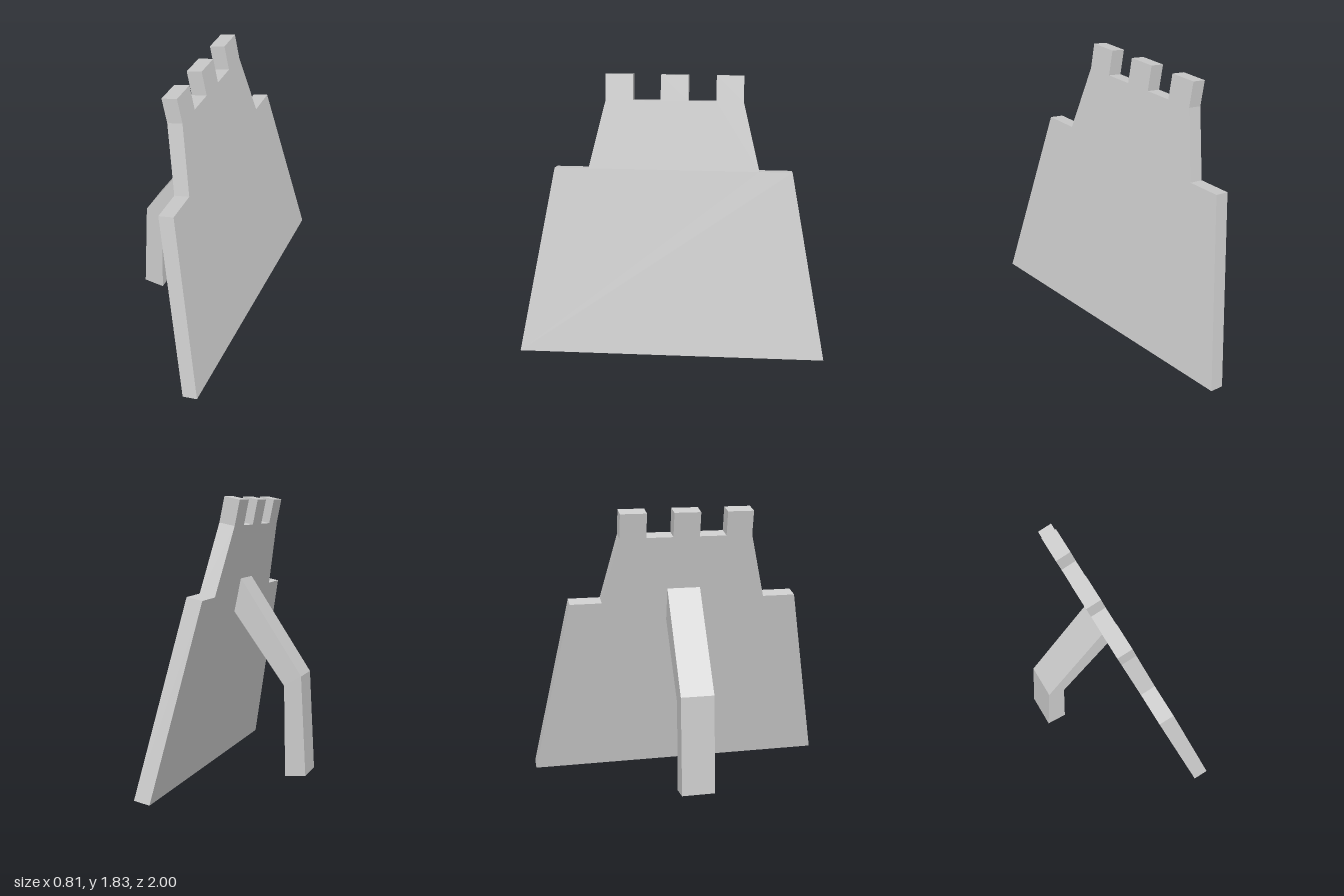
import * as THREE from 'three';

const material = new THREE.MeshStandardMaterial({ color: 0xcccccc, flatShading: true, side: THREE.DoubleSide });

// Extrudes an outline along z and leaves its base (everything below baseY) open
function openPrism(points, depth, baseY) {
  const shape = new THREE.Shape(points.map(([x, y]) => new THREE.Vector2(x, y)));
  const solid = new THREE.ExtrudeGeometry(shape, { depth, bevelEnabled: false });
  const p = solid.attributes.position;
  const kept = [];
  for (let i = 0; i < p.count; i += 3) {
    if (Math.max(p.getY(i), p.getY(i + 1), p.getY(i + 2)) < baseY) continue;
    for (let j = i; j < i + 3; j++) kept.push(p.getX(j), p.getY(j), p.getZ(j));
  }
  const geometry = new THREE.BufferGeometry();
  geometry.setAttribute('position', new THREE.Float32BufferAttribute(kept, 3));
  geometry.computeVertexNormals();
  return geometry;
}

export function createModel() {
  const group = new THREE.Group();
  const add = (name, geometry) => {
    const mesh = new THREE.Mesh(geometry, material);
    mesh.name = name;
    group.add(mesh);
  };

  // Leaning battlement panel: stepped outline with three merlons
  const shoulder = 1.229, notch = 1.67, top = 1.833, tilt = 0.206;
  const outline = [
    [-1, 0], [1, 0],
    [0.76, shoulder], [0.55, shoulder],
    [0.44, notch], [0.44, top], [0.267, top], [0.267, notch],
    [0.09, notch], [0.09, top], [-0.085, top], [-0.085, notch],
    [-0.262, notch], [-0.262, top], [-0.435, top], [-0.435, notch],
    [-0.545, shoulder], [-0.765, shoulder],
  ];
  const panel = openPrism(outline, 0.102, 0.01);
  panel.rotateY(Math.PI / 2).rotateZ(tilt).translate(0.305, 0.011, 0);
  add('battlementPanel', panel);

  // Bent support leg behind the panel
  const leg = openPrism([
    [-0.408, 0.015], [-0.27, 0], [-0.26, 0.605],
    [0.082, 1.08], [0.038, 1.3], [-0.374, 0.673],
  ], 0.22, 0.03);
  leg.translate(0, 0, -0.117);
  add('supportLeg', leg);

  return group;
}
